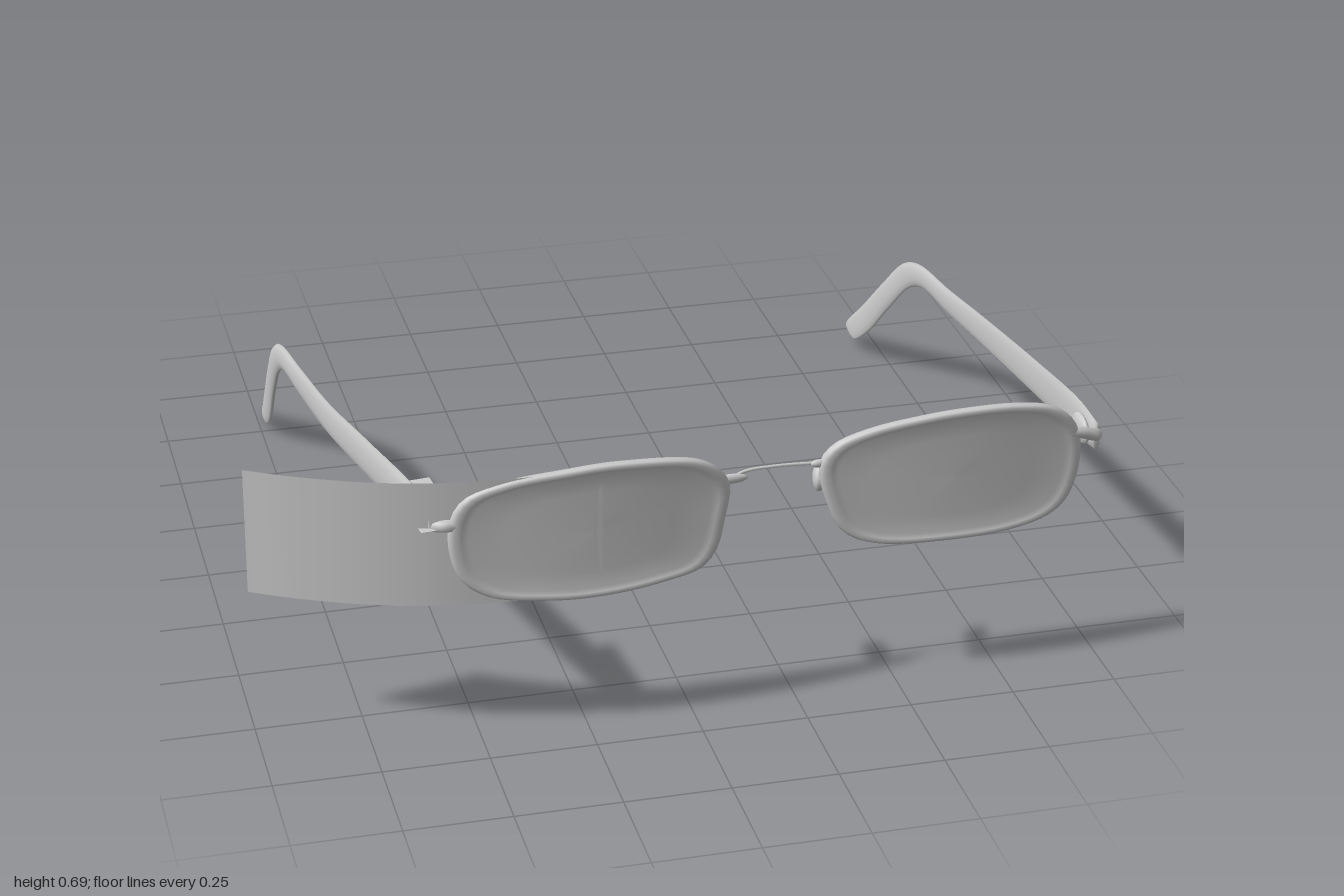
import * as THREE from 'three';

const grey = new THREE.MeshStandardMaterial({ color: 0xcccccc, side: THREE.DoubleSide });
const V = (x, y, z) => new THREE.Vector3(x, y, z);

// Skin over closed rings that all have the same number of points
function loft(name, rings) {
  const n = rings[0].length, index = [];
  for (let r = 0; r < rings.length - 1; r++) {
    for (let i = 0; i < n; i++) {
      const a = r * n + i, b = r * n + (i + 1) % n;
      index.push(a, b, a + n, b, b + n, a + n);
    }
  }
  const geo = new THREE.BufferGeometry().setFromPoints(rings.flat());
  geo.setIndex(index);
  geo.computeVertexNormals();
  return add(name, geo);
}

function add(name, geo) {
  const mesh = new THREE.Mesh(geo, grey);
  mesh.name = name;
  return mesh;
}

// Rounded lens with a raised rim, bent along depth(x)
function lens(name, outline, depth) {
  const curve = new THREE.CatmullRomCurve3(outline.map(([x, y]) => V(x, y, 0)), true, 'centripetal');
  const edge = curve.getSpacedPoints(72).slice(0, 72);
  const centre = edge.reduce((s, p) => s.add(p), V(0, 0, 0)).divideScalar(72);
  const half = [[0, 0.004], [0.3, 0.004], [0.6, 0.004], [0.86, 0.005], [0.91, 0.011], [0.96, 0.013], [0.99, 0.009]];
  const profile = [...half, [1, 0], ...half.map(([s, d]) => [s, -d]).reverse()];
  return loft(name, profile.map(([s, d]) => edge.map((p) => {
    const q = centre.clone().lerp(p, s);
    q.z = depth(q.x) + d;
    return q;
  })).reverse());
}

// Flat oval arm: stations are [top z, top y, bottom z, bottom y, x, thickness]
function temple(name, stations) {
  const tops = new THREE.CatmullRomCurve3(stations.map((s) => V(s[4], s[1], s[0])));
  const bottoms = new THREE.CatmullRomCurve3(stations.map((s) => V(s[4], s[3], s[2])));
  const widths = new THREE.CatmullRomCurve3(stations.map((s, i) => V(s[5], i, 0)));
  const rings = [];
  const steps = 60, sides = 12;
  for (let k = 0; k <= steps; k++) {
    const t = k / steps, a = tops.getPoint(t), b = bottoms.getPoint(t);
    const w = widths.getPoint(t).x / 2;
    const ring = [];
    for (let i = 0; i < sides; i++) {
      const u = (i / sides) * Math.PI * 2;
      const p = a.clone().lerp(b, 0.5 - 0.5 * Math.cos(u));
      p.x += w * Math.sin(u);
      ring.push(p);
    }
    rings.push(ring);
  }
  const cap = (ring) => {
    const c = ring.reduce((s, p) => s.add(p), V(0, 0, 0)).divideScalar(sides);
    return ring.map(() => c.clone());
  };
  return loft(name, [cap(rings[0]), ...rings, cap(rings[steps])]);
}

function blob(name, pos, radii, tilt = 0) {
  const mesh = add(name, new THREE.SphereGeometry(1, 16, 10));
  mesh.position.set(...pos);
  mesh.scale.set(...radii);
  mesh.rotation.y = tilt;
  return mesh;
}

function wire(name, points, radius) {
  const path = new THREE.CatmullRomCurve3(points.map((p) => V(...p)));
  return add(name, new THREE.TubeGeometry(path, 20, radius, 8));
}

export function createModel() {
  const model = new THREE.Group();
  const depthRight = (x) => 0.922 - 0.22 * (x + 0.3) ** 2;
  const depthLeft = (x) => 0.88 - 0.2 * (x - 0.53) ** 2;

  // Lenses
  model.add(lens('rightLens', [
    [-0.57, 0.55], [-0.54, 0.62], [-0.45, 0.657], [-0.3, 0.675], [-0.18, 0.679], [0, 0.657], [0.055, 0.625],
    [0.085, 0.575], [0.075, 0.5], [0.055, 0.42], [0.02, 0.38], [-0.07, 0.36], [-0.22, 0.347], [-0.35, 0.352],
    [-0.49, 0.378], [-0.55, 0.43],
  ], depthRight));
  model.add(lens('leftLens', [
    [0.3, 0.59], [0.33, 0.635], [0.41, 0.668], [0.53, 0.688], [0.65, 0.695], [0.78, 0.688], [0.87, 0.664],
    [0.925, 0.61], [0.94, 0.53], [0.915, 0.43], [0.87, 0.39], [0.78, 0.368], [0.62, 0.363], [0.43, 0.378],
    [0.36, 0.412], [0.32, 0.49],
  ], depthLeft));

  // Bridge, tapering out of both rims
  model.add(wire('bridge', [[0.07, 0.575, 0.885], [0.12, 0.594, 0.872], [0.2, 0.597, 0.867], [0.3, 0.592, 0.865]], 0.004));
  model.add(blob('bridgeJoint', [0.09, 0.583, 0.878], [0.04, 0.012, 0.008]));
  model.add(blob('bridgeJoint', [0.3, 0.592, 0.868], [0.02, 0.01, 0.008]));

  // Nose pads
  model.add(blob('rightNosePad', [0.06, 0.53, 0.835], [0.014, 0.035, 0.045], 0.1));
  model.add(blob('leftNosePad', [0.318, 0.53, 0.815], [0.016, 0.035, 0.035], -0.3));

  // Hinges
  model.add(wire('leftEndPiece', [[0.91, 0.59, 0.85], [0.95, 0.58, 0.842], [0.982, 0.565, 0.83], [0.988, 0.555, 0.79]], 0.015));
  model.add(blob('leftHinge', [0.972, 0.55, 0.76], [0.013, 0.035, 0.05]));
  model.add(wire('rightEndPiece', [[-0.54, 0.56, 0.905], [-0.58, 0.56, 0.905], [-0.603, 0.555, 0.88], [-0.605, 0.55, 0.83]], 0.015));
  model.add(blob('rightHinge', [-0.595, 0.545, 0.83], [0.015, 0.04, 0.05]));

  // Temples with bent ear tips
  model.add(temple('leftTemple', [
    [0.82, 0.59, 0.82, 0.52, 0.988, 0.02], [0.72, 0.598, 0.72, 0.505, 0.985, 0.018], [0.4, 0.55, 0.4, 0.46, 0.993, 0.014],
    [0, 0.492, 0, 0.415, 0.99, 0.014], [-0.25, 0.455, -0.25, 0.388, 0.985, 0.018], [-0.47, 0.43, -0.43, 0.378, 0.977, 0.02],
    [-0.58, 0.385, -0.52, 0.34, 0.97, 0.02], [-0.71, 0.27, -0.65, 0.22, 0.957, 0.024], [-0.84, 0.145, -0.77, 0.1, 0.943, 0.02],
    [-0.93, 0.065, -0.86, 0.035, 0.933, 0.012], [-0.945, 0.045, -0.89, 0.03, 0.931, 0.006],
  ]));
  model.add(temple('rightTemple', [
    [0.9, 0.59, 0.9, 0.53, -0.6, 0.025], [0.75, 0.585, 0.75, 0.49, -0.615, 0.025], [0.4, 0.535, 0.4, 0.44, -0.66, 0.02],
    [0.1, 0.49, 0.1, 0.405, -0.7, 0.018], [-0.2, 0.445, -0.2, 0.37, -0.722, 0.02], [-0.43, 0.405, -0.38, 0.355, -0.735, 0.022],
    [-0.55, 0.34, -0.48, 0.3, -0.737, 0.022], [-0.66, 0.23, -0.59, 0.19, -0.735, 0.022], [-0.76, 0.12, -0.7, 0.06, -0.732, 0.02],
    [-0.84, 0.03, -0.78, 0.008, -0.73, 0.016], [-0.86, 0.018, -0.82, 0.002, -0.73, 0.008],
  ]));

  // Curved side shield: a thin sheet sweeping back past the right lens
  const sweep = new THREE.CatmullRomCurve3([
    V(-1, 0, 0.74), V(-0.9, 0, 0.795), V(-0.75, 0, 0.86), V(-0.6, 0, 0.902), V(-0.42, 0, 0.922), V(-0.22, 0, 0.925),
  ]);
  const sheet = new THREE.PlaneGeometry(1, 0.31, 32, 1);
  const pos = sheet.attributes.position;
  for (let i = 0; i < pos.count; i++) {
    const p = sweep.getPoint(Math.min(1, Math.max(0, pos.getX(i) + 0.5)));
    pos.setXYZ(i, p.x, pos.getY(i) + 0.513, p.z);
  }
  sheet.computeVertexNormals();
  model.add(add('sideShield', sheet));

  // Small flat plate lying over the right hinge
  const plate = add('hingePlate', new THREE.PlaneGeometry(0.095, 0.25).rotateX(-Math.PI / 2));
  plate.position.set(-0.597, 0.555, 0.787);
  plate.rotation.y = 0.1;
  model.add(plate);

  return model;
}
